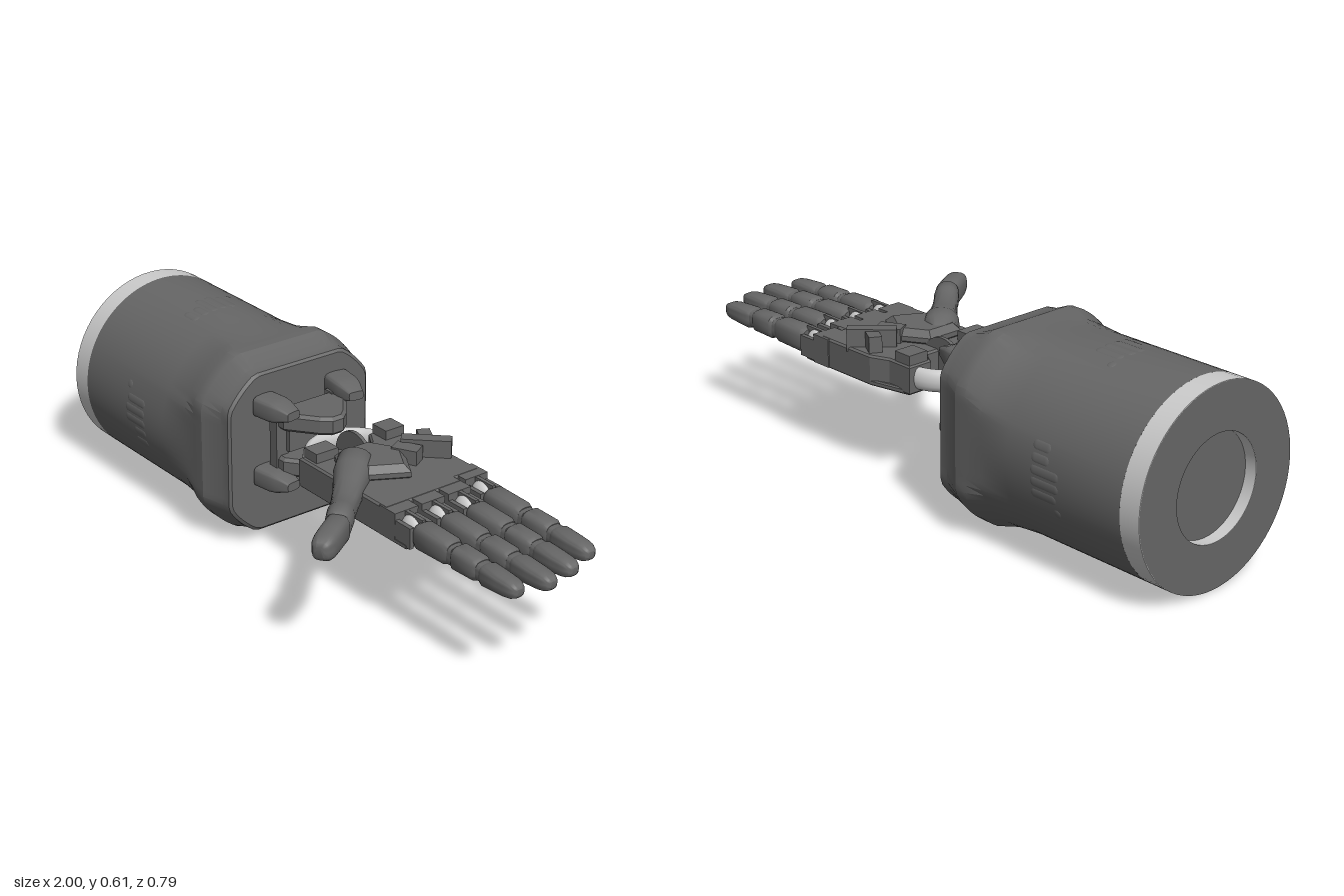
import * as THREE from 'three';
import { toCreasedNormals } from 'three/addons/utils/BufferGeometryUtils.js';

const dark = new THREE.MeshStandardMaterial({ color: 0x666666 });
const light = new THREE.MeshStandardMaterial({ color: 0xcccccc });
const AY = 0.303, AZ = -0.1; // forearm axis

// Skin a list of rings (arrays of [x, y, z], turning y towards z) and cap both ends
function loft(rings, crease = 0.6) {
  const n = rings[0].length, pos = [], idx = [];
  rings.forEach(r => r.forEach(p => pos.push(...p)));
  for (let i = 0; i < rings.length - 1; i++)
    for (let j = 0; j < n; j++) {
      const a = i * n + j, b = i * n + (j + 1) % n;
      idx.push(a, b, b + n, a, b + n, a + n);
    }
  const last = (rings.length - 1) * n;
  for (let j = 1; j < n - 1; j++) {
    idx.push(0, j + 1, j);
    idx.push(last, last + j, last + j + 1);
  }
  const g = new THREE.BufferGeometry();
  g.setAttribute('position', new THREE.Float32BufferAttribute(pos, 3));
  g.setIndex(idx);
  return toCreasedNormals(g, crease);
}

// Rounded-square ring: centre height, half height, half width, roundness power
function squircle(x, cy, hy, hz, p = 3, n = 24) {
  return Array.from({ length: n }, (_, j) => {
    const t = j / n * Math.PI * 2, c = Math.cos(t), s = Math.sin(t);
    return [x, cy + hy * Math.sign(c) * Math.abs(c) ** (2 / p), hz * Math.sign(s) * Math.abs(s) ** (2 / p)];
  });
}

// Circle of radius R trimmed by a square of half size h
function trimmedCircle(x, R, h, n = 96) {
  return Array.from({ length: n }, (_, j) => {
    const t = j / n * Math.PI * 2, c = Math.cos(t), s = Math.sin(t);
    const r = Math.min(R, h / Math.max(Math.abs(c), Math.abs(s)));
    return [x, r * c, r * s];
  });
}

function add(parent, name, geo, mat = dark, x = 0, y = 0, z = 0) {
  const m = new THREE.Mesh(geo, mat);
  m.name = name;
  m.position.set(x, y, z);
  parent.add(m);
  return m;
}

// Box given by its limits
function block(parent, name, x0, x1, y0, y1, z0, z1) {
  return add(parent, name, new THREE.BoxGeometry(x1 - x0, y1 - y0, z1 - z0), dark,
    (x0 + x1) / 2, (y0 + y1) / 2, (z0 + z1) / 2);
}

// Plan outline of [x, z] points raised from y0 to y1 with a small bevel
function plan(points, y0, y1, bevel = 0.006) {
  const s = new THREE.Shape(points.map(([x, z]) => new THREE.Vector2(x, -z)));
  const g = new THREE.ExtrudeGeometry(s, {
    depth: y1 - y0 - 2 * bevel, bevelEnabled: true, bevelSize: bevel,
    bevelOffset: -bevel, bevelThickness: bevel, bevelSegments: 1, curveSegments: 8
  });
  return g.rotateX(-Math.PI / 2).translate(0, y0 + bevel, 0);
}

// Rounded phalanx between x0 and x1, tapering from [hy, hz] to [hy, hz]
function phalanx(parent, name, x0, x1, a, b, cy = 0, tip = false) {
  const mix = (t, k) => squircle(x0 + (x1 - x0) * t, cy,
    (a[0] + (b[0] - a[0]) * t) * k, (a[1] + (b[1] - a[1]) * t) * k, 3);
  const ends = tip ? [[0.72, 0.98], [0.86, 0.9], [0.96, 0.68], [1, 0.4]] : [[0.88, 1], [1, 0.82]];
  return add(parent, name, loft([[0, 0.82], [0.1, 1], [0.5, 1], ...ends].map(e => mix(...e))));
}

function makeForearm() {
  const g = new THREE.Group();
  g.name = 'forearm';
  g.position.set(0, AY, AZ);
  const sections = [[-0.93, 0.303, 0.31], [-0.5, 0.303, 0.303], [-0.39, 0.312, 0.29], [-0.33, 0.334, 0.295],
    [-0.29, 0.334, 0.295], [-0.225, 0.315, 0.267], [-0.195, 0.312, 0.265], [-0.188, 0.302, 0.257]];
  add(g, 'forearmShell', loft(sections.map(s => trimmedCircle(...s)), 0.4));

  // Pale rear collar with a round socket
  const profile = [[0, -0.96], [0.16, -0.96], [0.16, -0.999], [0.303, -0.999], [0.303, -0.93]]
    .map(p => new THREE.Vector2(...p));
  add(g, 'rearCollar', toCreasedNormals(new THREE.LatheGeometry(profile, 64).rotateZ(-Math.PI / 2), 0.5), light);
  add(g, 'rearPlate', new THREE.RingGeometry(0.16, 0.302, 64).rotateY(-Math.PI / 2), dark, -1);
  add(g, 'socketFloor', new THREE.CircleGeometry(0.159, 48).rotateY(-Math.PI / 2), dark, -0.962);

  // Vent slots: [height, start, end], repeated on four sides
  const vents = [[0.09, -0.69, -0.69], [0.05, -0.68, -0.61], [0.015, -0.69, -0.61],
    [-0.02, -0.69, -0.61], [-0.055, -0.65, -0.61], [-0.09, -0.65, -0.61]];
  for (let k = 0; k < 4; k++)
    for (const [h, x0, x1] of vents) {
      const geo = new THREE.CapsuleGeometry(0.015, x1 - x0, 4, 12).rotateZ(Math.PI / 2).scale(1, 1, 0.25);
      const pivot = new THREE.Group();
      pivot.name = 'vent';
      pivot.rotation.x = -Math.asin(h / 0.303) - k * Math.PI / 2;
      add(pivot, 'ventSlot', geo, dark, (x0 + x1) / 2, 0, 0.301);
      g.add(pivot);
    }
  return g;
}

function makeWrist() {
  const g = new THREE.Group();
  g.name = 'wrist';
  g.position.set(0, 0.35, AZ);
  const arm = [[-0.16, -0.12], [-0.11, -0.12], [-0.02, -0.05], [0.005, -0.02],
    [0.005, 0.02], [-0.02, 0.05], [-0.11, 0.12], [-0.16, 0.12]];
  for (const s of [1, -1]) {
    // Clevis arm with two feet
    const y = s > 0 ? [0.045, 0.105] : [-0.105, -0.045];
    add(g, 'clevisArm', plan(arm, ...y, 0.01));
    for (const t of [1, -1]) {
      const foot = add(g, 'bracketFoot', loft([[-0.19, 0.033, 0.042], [-0.13, 0.033, 0.042], [-0.105, 0.03, 0.038],
        [-0.06, 0.014, 0.025]].map(([x, hy, hz]) => squircle(x, 0, hy, hz, 5))));
      foot.position.set(0, s * 0.117, t * 0.11);
      foot.rotation.y = t * 0.15;
    }
    block(g, 'bracketPillar', -0.17, -0.135, -0.11, 0.11, s * 0.105 - 0.022, s * 0.105 + 0.022);
  }
  block(g, 'bracketCrossbar', -0.165, -0.12, -0.035, 0.035, -0.09, 0.09);
  // Pale half ring linking bracket and palm, and the thin guide disc between
  const ring = new THREE.TorusGeometry(0.13, 0.02, 14, 40, Math.PI)
    .rotateZ(Math.PI / 2).rotateX(Math.PI / 2).scale(1, 1.75, 1);
  add(g, 'wristRing', ring, light, 0.075);
  add(g, 'guideDisc', new THREE.CylinderGeometry(0.085, 0.085, 0.012, 32).rotateX(Math.PI / 2), dark, 0.085);
  return g;
}

function makePalm() {
  const g = new THREE.Group();
  g.name = 'palm';
  const body = [[0.05, -0.265], [0.14, -0.265], [0.2, -0.29], [0.43, -0.29], [0.43, -0.2], [0.46, -0.2],
    [0.46, 0.085], [0.055, 0.085], [0.055, -0.03], [0.1, -0.06], [0.1, -0.15], [0.05, -0.18]];
  add(g, 'palmBody', plan(body, 0.303, 0.395));
  const sole = [[0.06, -0.26], [0.2, -0.29], [0.5, -0.29], [0.5, -0.205], [0.55, -0.205],
    [0.55, -0.105], [0.565, -0.105], [0.565, -0.005], [0.55, -0.005], [0.55, 0.085], [0.06, 0.085]];
  add(g, 'palmSole', plan(sole, 0.3, 0.318, 0.004));
  // Raised wrist lugs and tendon guides on the back of the hand
  block(g, 'wristLug', 0.055, 0.12, 0.39, 0.425, -0.26, -0.19);
  block(g, 'wristLug', 0.06, 0.12, 0.39, 0.425, -0.01, 0.07);
  add(g, 'thumbMount', plan([[0.14, -0.1], [0.24, -0.16], [0.36, -0.09], [0.3, 0.02], [0.22, 0.06], [0.14, 0.02]],
    0.38, 0.435, 0.02));
  const bar = block(g, 'tendonGuide', 0.19, 0.34, 0.38, 0.45, -0.245, -0.205);
  bar.rotation.y = 0.8;
  block(g, 'tendonGuide', 0.2, 0.27, 0.38, 0.445, -0.265, -0.225).rotation.y = -0.5;
  block(g, 'tendonGuide', 0.22, 0.3, 0.38, 0.44, -0.18, -0.13).rotation.y = 0.5;
  return g;
}

// One finger: knuckle housing, pale knuckle and three phalanges
function makeFinger(z, knuckle, tip) {
  const g = new THREE.Group();
  g.name = 'finger';
  g.position.set(0, 0.348, z);
  const len = tip - knuckle, at = t => knuckle + len * t;
  block(g, 'knuckleHousing', knuckle - 0.1, knuckle - 0.03, -0.045, 0.046, -0.042, 0.042);
  for (const s of [1, -1])
    block(g, 'knuckleFork', knuckle - 0.04, knuckle + 0.035, -0.04, 0.025, s * 0.034 - 0.007, s * 0.034 + 0.007);
  add(g, 'knuckle', new THREE.SphereGeometry(0.042, 20, 14).scale(1, 1, 0.72), light, knuckle);
  block(g, 'knuckleStrap', knuckle - 0.045, knuckle + 0.045, -0.03, 0.045, -0.006, 0.006);
  phalanx(g, 'innerPhalanx', at(0.08), at(0.4), [0.042, 0.038], [0.038, 0.036], -0.001);
  phalanx(g, 'fingerJoint', at(0.36), at(0.48), [0.031, 0.03], [0.031, 0.03], -0.003);
  phalanx(g, 'middlePhalanx', at(0.43), at(0.66), [0.037, 0.036], [0.035, 0.034], -0.002);
  phalanx(g, 'fingerJoint', at(0.62), at(0.74), [0.028, 0.028], [0.028, 0.028], -0.003);
  phalanx(g, 'fingertip', at(0.69), tip, [0.034, 0.034], [0.026, 0.029], -0.004, true);
  return g;
}

function makeThumb() {
  const g = new THREE.Group();
  g.name = 'thumb';
  g.position.set(0.2, 0.392, -0.01);
  g.rotation.y = -0.8;
  // Base swelling, waist and joint in one skin: [x, height, half height, half width]
  const base = [[-0.05, 0, 0.04, 0.03], [0, 0.005, 0.06, 0.055], [0.07, 0.005, 0.056, 0.056], [0.15, -0.002, 0.045, 0.045],
    [0.23, -0.004, 0.038, 0.04], [0.29, -0.002, 0.042, 0.038], [0.31, 0, 0.046, 0.04], [0.36, 0, 0.046, 0.038], [0.375, 0, 0.036, 0.03]];
  add(g, 'thumbBase', loft(base.map(([x, cy, hy, hz]) => squircle(x, cy, hy, hz, 2.4)), 0.8));
  const tip = phalanx(g, 'thumbTip', -0.02, 0.145, [0.044, 0.036], [0.04, 0.036], -0.005, true);
  tip.position.set(0.375, 0, 0);
  tip.rotation.y = -0.2;
  return g;
}

export function createModel() {
  const model = new THREE.Group();
  model.name = 'roboticForearmAndHand';
  model.add(makeForearm(), makeWrist(), makePalm(), makeThumb());
  const fingers = [[0.043, 0.53, 0.975], [-0.055, 0.53, 0.998], [-0.153, 0.53, 0.978], [-0.252, 0.49, 0.94]];
  for (const f of fingers) model.add(makeFinger(...f));
  return model;
}
